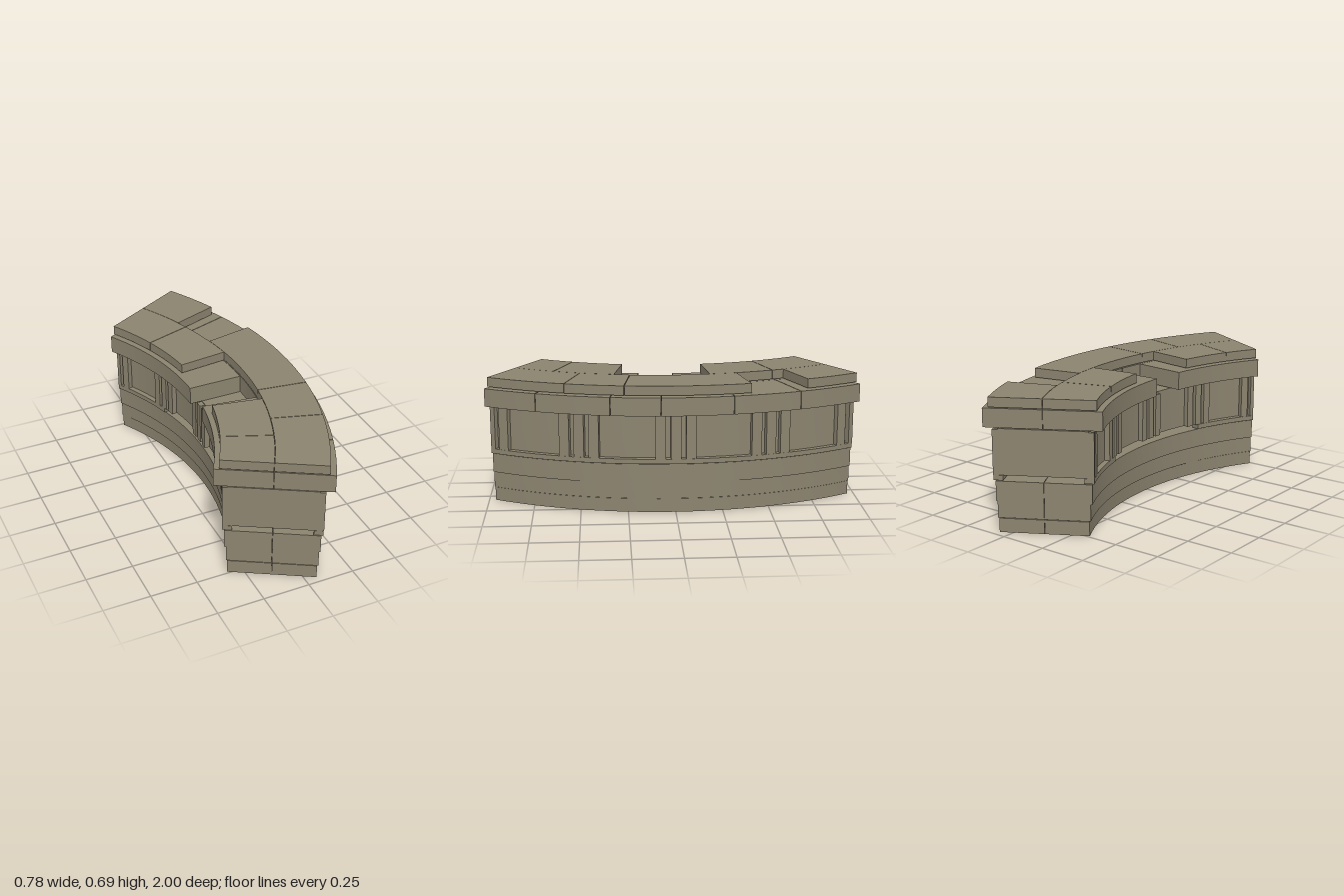
import * as THREE from 'three';
import { toCreasedNormals } from 'three/addons/utils/BufferGeometryUtils.js';

const CENTRE_X = -1.61; // centre of the curve lies behind the concave side
const SEAM = 1.703;     // radius where inner and outer stones meet
const RAD = Math.PI / 180;

// Curved stone between two radii, two heights and two angles (degrees, + towards +z)
function arcGeometry(r0, r1, y0, y1, a0, a1) {
  const n = Math.max(1, Math.ceil((a1 - a0) / 2.5));
  const pts = [];
  for (let i = 0; i <= n; i++) {
    const a = (a0 + (a1 - a0) * i / n) * RAD;
    pts.push(new THREE.Vector2(r1 * Math.cos(a), -r1 * Math.sin(a)));
  }
  for (let i = n; i >= 0; i--) {
    const a = (a0 + (a1 - a0) * i / n) * RAD;
    pts.push(new THREE.Vector2(r0 * Math.cos(a), -r0 * Math.sin(a)));
  }
  const geo = new THREE.ExtrudeGeometry(new THREE.Shape(pts), { depth: y1 - y0, bevelEnabled: false });
  geo.rotateX(-Math.PI / 2);
  geo.translate(CENTRE_X, y0, 0);
  return toCreasedNormals(geo, 0.5);
}

export function createModel() {
  const model = new THREE.Group();
  model.name = 'curvedStoneWall';
  const stone = new THREE.MeshStandardMaterial({ color: 0x8c8470 });
  stone.name = 'stone';

  const block = (name, ...dims) => {
    const mesh = new THREE.Mesh(arcGeometry(...dims), stone);
    mesh.name = name;
    model.add(mesh);
  };
  // Row of stones split at the given angles, with hairline joints
  const course = (name, r0, r1, y0, y1, angles) => {
    for (let i = 0; i < angles.length - 1; i++) {
      const a = angles[i] + (i > 0 ? 0.05 : 0);
      const b = angles[i + 1] - (i < angles.length - 2 ? 0.05 : 0);
      block(name, r0, r1, y0, y1, a, b);
    }
  };

  // Plinth: three courses, each slightly wider than the one below
  for (const [r0, r1, y0, y1] of [
    [1.478, 1.93, 0, 0.073],
    [1.472, 1.936, 0.076, 0.163],
    [1.463, 1.943, 0.163, 0.266],
  ]) {
    block('plinthInner', r0, SEAM - 0.001, y0, y1, -30, 30);
    block('plinthOuter', SEAM + 0.001, r1, y0, y1, -30, 30);
  }

  // Sills; the middle of the inner one has fallen away
  block('outerSill', 1.905, 1.953, 0.27, 0.296, -30, 30);
  block('innerSill', 1.453, 1.501, 0.27, 0.296, 15, 30);
  block('innerSill', 1.453, 1.501, 0.27, 0.296, -30, -15);

  // Wall core with groups of three pilasters on both faces
  block('wallCore', 1.48, 1.926, 0.297, 0.534, -30, 30);
  for (let group = -30; group <= 30; group += 15) {
    for (const offset of [-2.35, 0, 2.35]) {
      const a = Math.max(-30, group + offset - 0.8);
      const b = Math.min(30, group + offset + 0.8);
      if (b <= a) continue;
      block('outerPilaster', 1.92, 1.955, 0.297, 0.529, a, b);
      block('innerPilaster', 1.452, 1.486, 0.297, 0.529, a, b);
    }
  }

  // Cornice, with one inner stone missing
  course('corniceOuter', SEAM + 0.001, 2.0, 0.538, 0.635, [-30, -19.2, -8.6, 2.3, 9.8, 21.3, 30]);
  course('corniceInner', 1.41, SEAM - 0.001, 0.538, 0.635, [-30, -0.4]);
  course('corniceInner', 1.41, SEAM - 0.001, 0.538, 0.635, [7.2, 30]);

  // Broken capping stones
  course('capOuter', SEAM + 0.001, 1.97, 0.64, 0.69, [-30, -20.8]);
  course('capOuter', SEAM + 0.001, 1.97, 0.64, 0.69, [-11.5, 7.8, 17, 30]);
  course('capInner', 1.438, SEAM - 0.001, 0.64, 0.69, [-30, -18.6, -6.6]);
  course('capInner', 1.438, SEAM - 0.001, 0.64, 0.69, [10.7, 22.1, 30]);

  return model;
}
